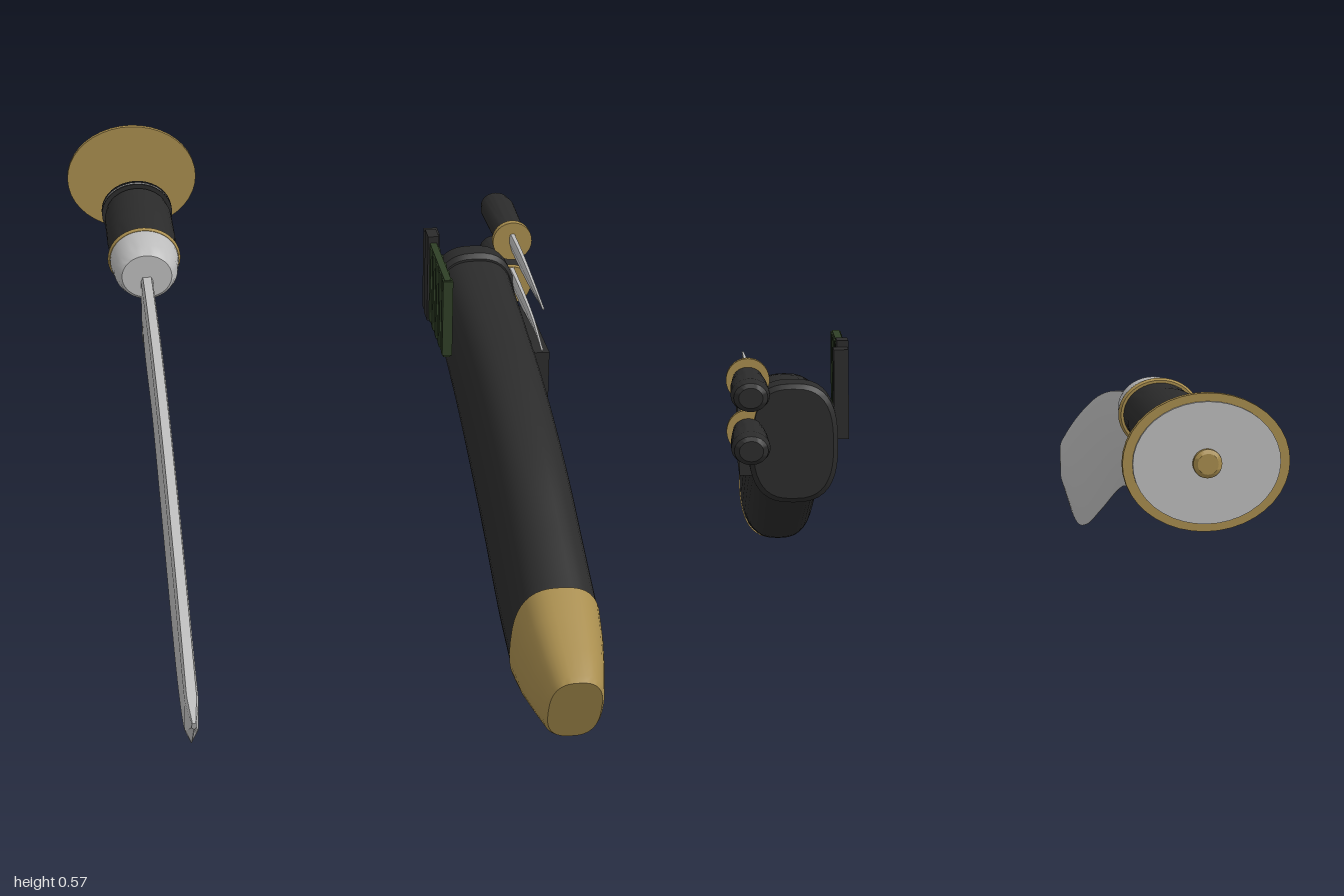
import * as THREE from 'three';
import { toCreasedNormals } from 'three/addons/utils/BufferGeometryUtils.js';

const mat = (name, color) => {
  const m = new THREE.MeshStandardMaterial({ color });
  m.name = name;
  return m;
};

// Closed skin over equal-length rings, ordered along +z, each counterclockwise seen from +z
function loft(rings, crease = 0.6) {
  const n = rings[0].length, pos = [], idx = [];
  rings.forEach(r => r.forEach(p => pos.push(p.x, p.y, p.z)));
  for (let i = 0; i < rings.length - 1; i++) {
    for (let j = 0; j < n; j++) {
      const k = (j + 1) % n, a = i * n + j, b = i * n + k, c = b + n, d = a + n;
      idx.push(a, b, c, a, c, d);
    }
  }
  [0, rings.length - 1].forEach(i => {
    const mid = new THREE.Vector3();
    rings[i].forEach(p => mid.addScaledVector(p, 1 / n));
    const m = pos.length / 3;
    pos.push(mid.x, mid.y, mid.z);
    for (let j = 0; j < n; j++) {
      const a = i * n + j, b = i * n + (j + 1) % n;
      if (i === 0) idx.push(m, b, a); else idx.push(m, a, b);
    }
  });
  const g = new THREE.BufferGeometry();
  g.setAttribute('position', new THREE.Float32BufferAttribute(pos, 3));
  g.setIndex(idx);
  return toCreasedNormals(g, crease);
}

// Smooth curve through [z, y] points
const curve = pts => new THREE.CatmullRomCurve3(pts.map(([z, y]) => new THREE.Vector3(0, y, z)), false, 'centripetal');

// Rounded-box ring between a top and a bottom point
function roundRing(top, bottom, halfWidth, n = 40, power = 2.7) {
  const ring = [];
  const sq = v => Math.sign(v) * Math.abs(v) ** (2 / power);
  for (let j = 0; j < n; j++) {
    const a = j / n * Math.PI * 2;
    const p = bottom.clone().lerp(top, 0.5 + 0.5 * sq(Math.sin(a)));
    p.x = halfWidth * sq(Math.cos(a));
    ring.push(p);
  }
  return ring;
}

// Blade ring: edge at the bottom, bevel, flat side, narrowed spine
function bladeRing(top, bottom, h, bevel) {
  const side = [[0, 0.04], [bevel, 1], [0.9, 1], [1, 0.7]];
  const at = (f, w) => { const p = bottom.clone().lerp(top, f); p.x = w * h; return p; };
  return [...side.map(([f, w]) => at(f, w)), ...side.slice().reverse().map(([f, w]) => at(f, -w))];
}

// Oval turned part along z from [radius, z] points
function turned(profile, sx = 1, sy = 1) {
  const g = new THREE.LatheGeometry(profile.map(([r, z]) => new THREE.Vector2(r, z)), 40);
  g.rotateX(Math.PI / 2);
  g.scale(sx, sy, 1);
  return toCreasedNormals(g, 0.6);
}
const disc = (r, z0, z1, sx, sy) => turned([[0, z0], [r, z0], [r, z1], [0, z1]], sx, sy);

export function createModel() {
  const black = mat('black leather', 0x2b2b2b);
  const gold = mat('brass', 0xa88d4e);
  const steel = mat('steel', 0xbdbdbd);
  const green = mat('dark green', 0x2f3f26);

  const model = new THREE.Group();
  model.name = 'knifeSet';
  const group = (name, x, y) => {
    const g = new THREE.Group();
    g.name = name;
    g.position.set(x, y, 0);
    model.add(g);
    return g;
  };
  const add = (parent, name, geometry, material) => {
    const m = new THREE.Mesh(geometry, material);
    m.name = name;
    parent.add(m);
    return m;
  };
  const box = (parent, name, material, x0, x1, y0, y1, z0, z1) => {
    const m = add(parent, name, new THREE.BoxGeometry(x1 - x0, y1 - y0, z1 - z0), material);
    m.position.set((x0 + x1) / 2, (y0 + y1) / 2, (z0 + z1) / 2);
  };

  // Large curved blade
  const big = group('largeKnife', -0.33, 0);
  const spine = curve([[-0.36, 0.455], [-0.29, 0.455], [0, 0.43], [0.3, 0.375], [0.6, 0.29], [0.8, 0.222], [0.93, 0.172], [1, 0.145]]);
  const edge = curve([[-0.36, 0.4], [-0.29, 0.285], [0, 0.235], [0.32, 0.125], [0.55, 0.048], [0.72, 0.02], [0.9, 0.05], [0.995, 0.13]]);
  const bladeRings = [];
  for (let i = 0; i <= 56; i++) {
    const t = i / 56;
    const half = t > 0.88 ? THREE.MathUtils.lerp(0.0125, 0.004, (t - 0.88) / 0.12) : 0.0125;
    bladeRings.push(bladeRing(spine.getPoint(t), edge.getPoint(t), half, 0.28));
  }
  add(big, 'blade', loft(bladeRings, 0.35), steel);

  // Hanging spur beside the blade notch
  const spur = new THREE.Shape();
  spur.moveTo(0.365, 0.43);
  spur.lineTo(0.3, 0.43);
  spur.quadraticCurveTo(0.325, 0.37, 0.325, 0.33);
  spur.quadraticCurveTo(0.34, 0.295, 0.358, 0.325);
  spur.closePath();
  const spurGeo = new THREE.ExtrudeGeometry(spur, { depth: 0.025, bevelEnabled: false });
  spurGeo.translate(0, 0, -0.0125);
  spurGeo.rotateY(Math.PI / 2);
  add(big, 'bladeSpur', spurGeo, steel);

  // Bolster, grip, spacers and pommel along the handle axis
  const hilt = group('hilt', -0.33, 0.457);
  add(hilt, 'bolster', turned([[0, -0.45], [0.072, -0.45], [0.072, -0.43], [0.066, -0.375], [0.058, -0.35], [0.052, -0.345], [0, -0.345]], 1, 0.88), steel);
  add(hilt, 'bolsterRing', turned([[0.06, -0.463], [0.073, -0.463], [0.077, -0.455], [0.073, -0.447], [0.06, -0.447]], 1, 0.88), gold);
  add(hilt, 'grip', turned([[0, -0.725], [0.069, -0.725], [0.073, -0.69], [0.073, -0.56], [0.069, -0.5], [0.068, -0.46], [0, -0.46]], 1, 0.87), black);
  add(hilt, 'frontSpacer', disc(0.077, -0.737, -0.732, 1, 0.87), black);
  add(hilt, 'middleSpacer', disc(0.076, -0.746, -0.741, 1, 0.87), steel);
  add(hilt, 'rearSpacer', disc(0.077, -0.755, -0.75, 1, 0.87), black);
  add(hilt, 'pommelPlate', disc(0.145, -0.982, -0.97, 1, 0.83), gold);
  add(hilt, 'pommelBackPlate', disc(0.128, -0.987, -0.981, 1, 0.83), steel);
  add(hilt, 'pommelNut', turned([[0, -1], [0.018, -1], [0.025, -0.995], [0.025, -0.985], [0, -0.985]]), gold);

  // Sheath body
  const sheath = group('sheath', 0.35, 0);
  const top = curve([[-0.28, 0.493], [-0.08, 0.478], [0.19, 0.447], [0.46, 0.382], [0.64, 0.315], [0.78, 0.257]]);
  const bottom = curve([[-0.28, 0.288], [0, 0.225], [0.18, 0.162], [0.35, 0.1], [0.53, 0.035], [0.69, 0.005]]);
  const body = [];
  for (let i = 0; i <= 32; i++) body.push(roundRing(top.getPoint(i / 32), bottom.getPoint(i / 32), 0.08));
  add(sheath, 'sheathBody', loft(body), black);

  // Throat collar and metal tip, as [topZ, topY, bottomZ, bottomY, halfWidth]
  const rings = list => list.map(([tz, ty, bz, by, w]) =>
    roundRing(new THREE.Vector3(0, ty, tz), new THREE.Vector3(0, by, bz), w));
  add(sheath, 'throatCollar', loft(rings([
    [-0.338, 0.495, -0.338, 0.285, 0.076], [-0.33, 0.504, -0.33, 0.276, 0.085],
    [-0.28, 0.506, -0.28, 0.274, 0.086], [-0.27, 0.497, -0.265, 0.28, 0.081]])), black);
  add(sheath, 'sheathTip', loft(rings([
    [0.778, 0.26, 0.687, 0.003, 0.082], [0.84, 0.235, 0.76, 0.007, 0.076],
    [0.91, 0.204, 0.84, 0.019, 0.065], [0.965, 0.18, 0.905, 0.028, 0.054],
    [0.977, 0.172, 0.918, 0.033, 0.048]])), gold);

  // Side pocket and green pouch with its strap
  const fittings = group('fittings', 0, 0);
  box(fittings, 'sidePocket', black, 0.42, 0.45, 0.305, 0.418, -0.195, 0.058);
  box(fittings, 'greenPouch', green, 0.244, 0.258, 0.395, 0.56, -0.285, 0.006);
  for (let i = 0; i < 5; i++) {
    const z = -0.19 + i * 0.045;
    box(fittings, 'pouchRib', green, 0.241, 0.261, 0.4, 0.558, z, z + 0.02);
  }
  box(fittings, 'pouchStrap', black, 0.24, 0.262, 0.39, 0.574, -0.25, -0.205);
  box(fittings, 'pouchEnd', black, 0.242, 0.27, 0.39, 0.562, -0.29, -0.25);

  // Two small knives
  [[0.513, 0.012, -0.002], [0.415, 0.036, 0.008]].forEach(([y, spineY, tipY], i) => {
    const k = group(i ? 'lowerSmallKnife' : 'upperSmallKnife', 0.435, y);
    add(k, 'smallGrip', turned([[0, -0.56], [0.022, -0.56], [0.031, -0.552], [0.036, -0.52],
      [0.034, -0.42], [0.029, -0.335], [0, -0.335]], 1, 0.85), black);
    add(k, 'smallGuard', disc(0.041, -0.337, -0.322), gold);
    const up = curve([[-0.33, spineY + 0.004], [-0.2, spineY + 0.004], [-0.05, spineY - 0.004], [0.06, tipY + 0.001]]);
    const low = curve([[-0.33, spineY - 0.036], [-0.2, spineY - 0.034], [-0.05, spineY - 0.026], [0.06, tipY - 0.001]]);
    const r = [];
    for (let j = 0; j <= 12; j++) r.push(bladeRing(up.getPoint(j / 12), low.getPoint(j / 12), 0.006 - 0.004 * j / 12, 0.5));
    add(k, 'smallBlade', loft(r, 0.35), steel);
  });

  return model;
}
